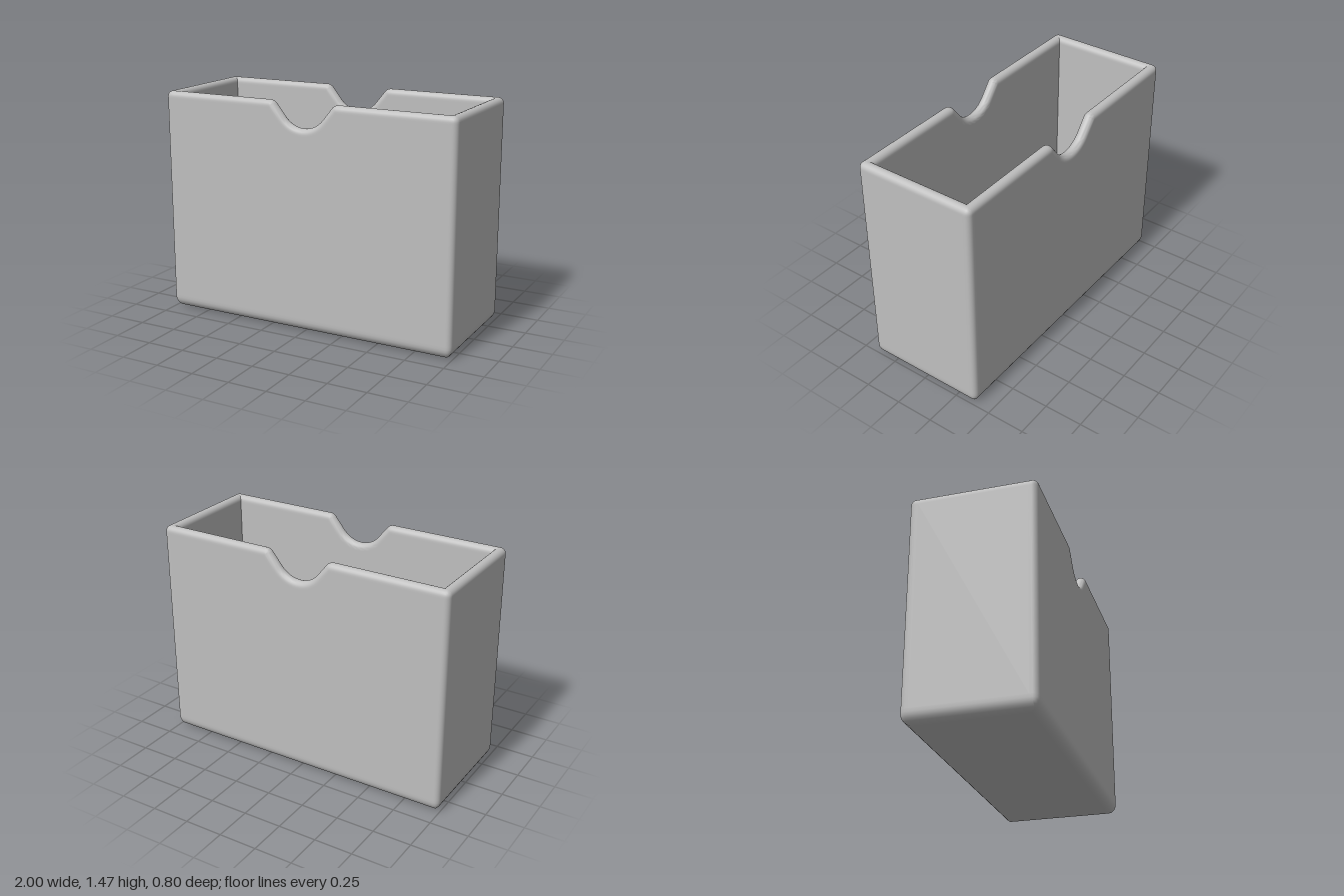
import * as THREE from 'three';
import { toCreasedNormals } from 'three/addons/utils/BufferGeometryUtils.js';

const HX = 1, HZ = 0.4, TOP = 1.465;   // half width, half depth, height
const CORNER = 0.035, BASE = 0.07;     // vertical edge radius, bottom edge radius
const WALL = 0.07, FLOOR = 0.07, INNER = 0.018, SEG = 6;

// Half of the finger notch: convex lip, straight flank, round bottom (x from outside to centre)
function notchHalf() {
  const slope = 51 * Math.PI / 180, lip = 0.05, lipX = 0.235, round = 0.169, low = 1.304;
  const pts = [{ x: lipX + 0.03, y: TOP, nx: 0, ny: 1 }];
  for (let i = 0; i <= 6; i++) {
    const a = slope * i / 6, s = Math.sin(a), c = Math.cos(a);
    pts.push({ x: lipX - lip * s, y: TOP - lip + lip * c, nx: -s, ny: c });
  }
  for (let i = 0; i <= 8; i++) {
    const a = slope * (1 - i / 8), s = Math.sin(a), c = Math.cos(a);
    pts.push({ x: round * s, y: low + round * (1 - c), nx: -s, ny: c });
  }
  return pts;
}

// Columns running once around the walls: rounded corners plus the two notched sides
function makeColumns() {
  const cols = [];
  const corner = (q) => {
    const sx = q === 0 || q === 3 ? 1 : -1, sz = q < 2 ? 1 : -1;
    const add = (angle, ox, oz) =>
      cols.push({ sx, sz, ox, oz, nx: Math.cos(angle), nz: Math.sin(angle) });
    const start = q * Math.PI / 2, gap = 0.02, odd = q % 2;
    add(start, odd ? gap : 0, odd ? 0 : gap);
    for (let i = 0; i <= SEG; i++) add(start + i / SEG * Math.PI / 2, 0, 0);
    add(start + Math.PI / 2, odd ? 0 : gap, odd ? gap : 0);
  };
  const half = notchHalf();
  const full = [...half, ...half.slice(0, -1).reverse().map(p => ({ ...p, x: -p.x, nx: -p.nx }))];
  const side = (s) => {
    for (const p of s > 0 ? full : [...full].reverse()) cols.push({ ...p, side: s });
  };
  corner(0); side(1); corner(1); corner(2); side(-1); corner(3);
  return cols;
}

// Rows from under the base, up the outside, over the rim and down to the inner floor
function makeRows() {
  const rows = [{ centre: true, y: 0 }, { d: BASE + 0.02, y: 0 }];
  for (let i = 0; i <= SEG; i++) {
    const a = i / SEG * Math.PI / 2;
    rows.push({ d: BASE * (1 - Math.sin(a)), y: BASE * (1 - Math.cos(a)) });
  }
  rows.push({ d: 0, y: BASE + 0.02 }, { d: 0, drop: 0.045 });
  for (let i = 0; i <= SEG * 2; i++) {
    const a = i / (SEG * 2) * Math.PI, r = WALL / 2;
    rows.push({ d: r * (1 - Math.cos(a)), drop: r * (1 - Math.sin(a)) });
  }
  rows.push({ d: WALL, drop: 0.045 }, { d: WALL, y: FLOOR + INNER + 0.02 });
  for (let i = 0; i <= SEG; i++) {
    const a = i / SEG * Math.PI / 2;
    rows.push({ d: WALL + INNER * (1 - Math.cos(a)), y: FLOOR + INNER * (1 - Math.sin(a)) });
  }
  rows.push({ d: WALL + INNER + 0.02, y: FLOOR }, { centre: true, y: FLOOR });
  return rows;
}

function pointAt(col, row) {
  if (row.centre) return new THREE.Vector3(0, row.y, 0);
  const { d, drop } = row, onRim = drop !== undefined;
  if (col.side) {
    return new THREE.Vector3(
      onRim ? col.x - col.nx * drop : col.x,
      onRim ? col.y - col.ny * drop : row.y,
      col.side * (HZ - d));
  }
  const inset = Math.max(CORNER, d), r = Math.max(CORNER - d, 0);
  return new THREE.Vector3(
    col.sx * (HX - inset - col.ox) + col.nx * r,
    onRim ? TOP - drop : row.y,
    col.sz * (HZ - inset - col.oz) + col.nz * r);
}

function shellGeometry() {
  const cols = makeColumns(), rows = makeRows();
  const grid = rows.map(row => cols.map(col => pointAt(col, row)));
  const positions = [];
  const tri = (a, b, c) => {
    const area = b.clone().sub(a).cross(c.clone().sub(a)).length();
    if (area > 1e-9) for (const p of [a, b, c]) positions.push(p.x, p.y, p.z);
  };
  for (let j = 0; j < rows.length - 1; j++) {
    for (let i = 0; i < cols.length; i++) {
      const k = (i + 1) % cols.length;
      tri(grid[j][i], grid[j + 1][i], grid[j + 1][k]);
      tri(grid[j][i], grid[j + 1][k], grid[j][k]);
    }
  }
  const geometry = new THREE.BufferGeometry();
  geometry.setAttribute('position', new THREE.Float32BufferAttribute(positions, 3));
  return toCreasedNormals(geometry, 40 * Math.PI / 180);
}

export function createModel() {
  const group = new THREE.Group();
  group.name = 'openBox';
  const grey = new THREE.MeshStandardMaterial({ color: 0xbfbfbf });
  grey.name = 'light grey';
  const shell = new THREE.Mesh(shellGeometry(), grey);
  shell.name = 'boxShell';
  group.add(shell);
  return group;
}
